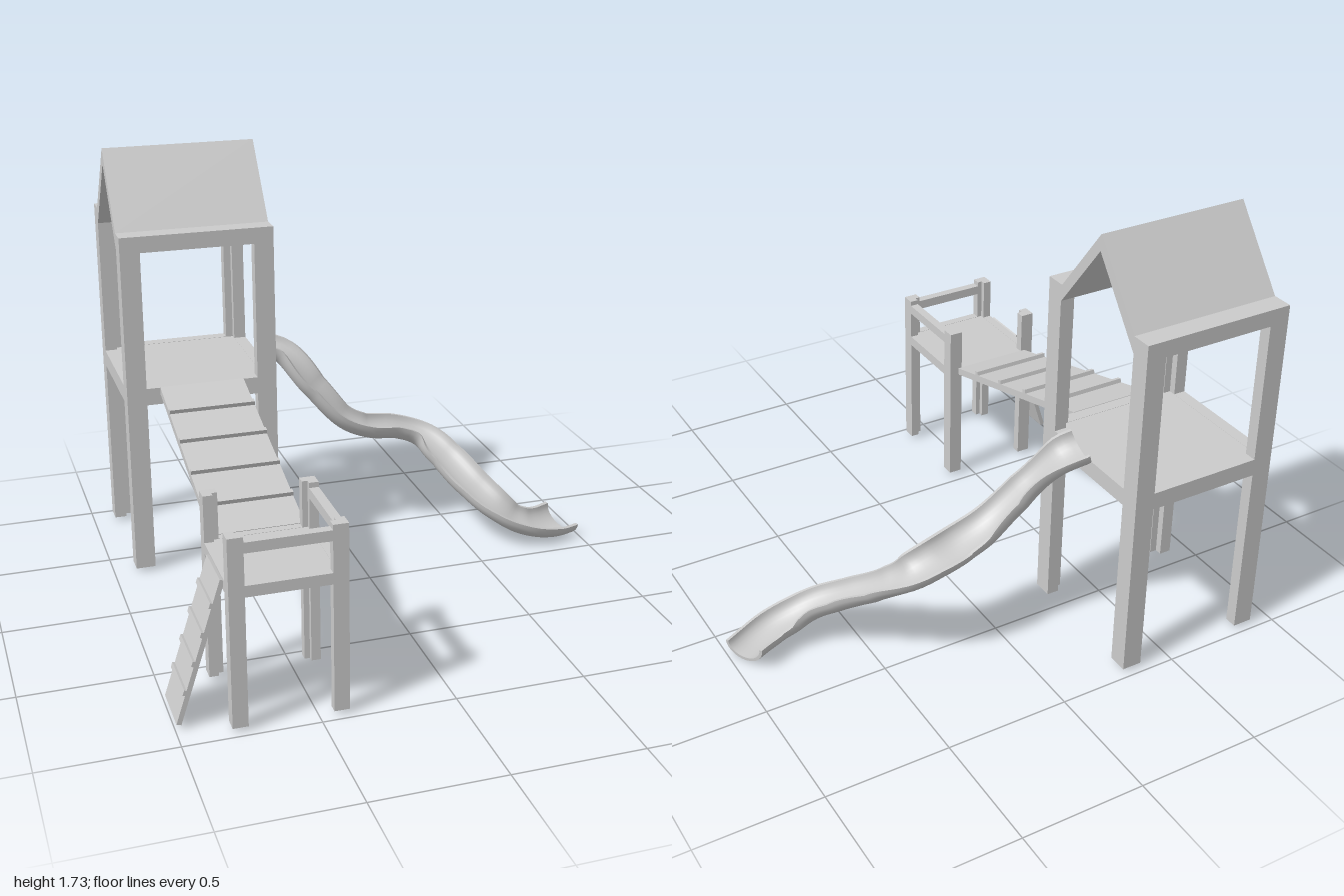
import * as THREE from 'three';
import { toCreasedNormals } from 'three/addons/utils/BufferGeometryUtils.js';

const material = new THREE.MeshStandardMaterial({ color: 0xcccccc });

function addMesh(parent, name, geometry) {
  const mesh = new THREE.Mesh(geometry, material);
  mesh.name = name;
  parent.add(mesh);
  return mesh;
}

// Box given by its minimum and maximum corners.
function addBox(parent, name, [x0, y0, z0], [x1, y1, z1]) {
  const mesh = addMesh(parent, name, new THREE.BoxGeometry(x1 - x0, y1 - y0, z1 - z0));
  mesh.position.set((x0 + x1) / 2, (y0 + y1) / 2, (z0 + z1) / 2);
  return mesh;
}

// Platform on four L-section corner posts, with a rim of beams under the deck.
function makePlatform(name, { x, z, w, d, post, thick, top, deckLow, deckTop }) {
  const g = new THREE.Group();
  g.name = name;
  g.position.set(x, 0, z);
  const hx = w / 2, hz = d / 2, base = 0.02;
  for (const sx of [-1, 1]) for (const sz of [-1, 1]) {
    const pts = [[0, 0], [post, 0], [post, thick], [thick, thick], [thick, post], [0, post]]
      .map(([a, b]) => new THREE.Vector2(sx * (hx - a), -sz * (hz - b)));
    const geo = new THREE.ExtrudeGeometry(new THREE.Shape(pts), { depth: top - base, bevelEnabled: false });
    geo.rotateX(-Math.PI / 2).translate(0, base, 0);
    addMesh(g, 'cornerPost', geo);
  }
  for (const s of [-1, 1]) {
    const za = s * hz, zb = s * (hz - thick), xa = s * hx, xb = s * (hx - thick);
    addBox(g, 'deckBeam', [post - hx, deckLow, Math.min(za, zb)], [hx - post, deckTop, Math.max(za, zb)]);
    addBox(g, 'deckBeam', [Math.min(xa, xb), deckLow, post - hz], [Math.max(xa, xb), deckTop, hz - post]);
  }
  addBox(g, 'deck', [thick - hx, deckTop - 0.02, thick - hz], [hx - thick, deckTop - 0.001, hz - thick]);
  return g;
}

// Sloping board in the local yz plane from a low to a high end, with raised cleats.
function makeRamp(name, width, length, thickness, cleats, cleatHeight) {
  const g = new THREE.Group();
  g.name = name;
  addBox(g, 'board', [-width / 2, -thickness, 0], [width / 2, 0, length]);
  for (const t of cleats) {
    addBox(g, 'cleat', [-width / 2, -0.002, t * length - 0.01], [width / 2, cleatHeight, t * length + 0.01]);
  }
  return g;
}

// Open trough swept along a winding path.
function makeSlide() {
  const path = new THREE.CatmullRomCurve3([
    [-0.29, 0.805, -0.64], [-0.22, 0.782, -0.625], [-0.1, 0.63, -0.56], [0.03, 0.485, -0.512],
    [0.15, 0.43, -0.5], [0.28, 0.405, -0.515], [0.38, 0.365, -0.5], [0.46, 0.29, -0.425],
    [0.55, 0.185, -0.29], [0.63, 0.11, -0.195], [0.7, 0.06, -0.155], [0.79, 0.028, -0.142],
    [0.87, 0.012, -0.16], [0.95, 0.008, -0.195],
  ].map(p => new THREE.Vector3(...p)), false, 'centripetal');
  // Cross-section: outer arc one way, inner arc back.
  const section = [], arc = 14, rings = 72;
  for (let i = 0; i <= arc; i++) {
    const a = Math.PI * i / arc;
    section.push([-0.1 * Math.cos(a), 0.075 - 0.075 * Math.sin(a)]);
  }
  for (let i = arc; i >= 0; i--) {
    const a = Math.PI * i / arc;
    section.push([-0.086 * Math.cos(a), 0.075 - 0.062 * Math.sin(a)]);
  }
  const n = section.length, pos = [], idx = [];
  const up = new THREE.Vector3(0, 1, 0);
  for (let r = 0; r <= rings; r++) {
    const t = r / rings;
    const c = path.getPointAt(t), dir = path.getTangentAt(t);
    const side = new THREE.Vector3().crossVectors(dir, up).normalize();
    const normal = new THREE.Vector3().crossVectors(side, dir);
    // Slight bank toward the exit, turning about the middle of the trough
    const roll = 0.22 * THREE.MathUtils.smoothstep(t, 0.8, 1);
    const cs = Math.cos(roll), sn = Math.sin(roll);
    for (const [u, v] of section) {
      const p = c.clone().addScaledVector(side, u * cs + v * sn * 0.3)
        .addScaledVector(normal, v * cs - u * sn);
      pos.push(p.x, p.y, p.z);
    }
  }
  for (let r = 0; r < rings; r++) for (let i = 0; i < n; i++) {
    const a = r * n + i, b = r * n + (i + 1) % n;
    idx.push(a, a + n, b, b, a + n, b + n);
  }
  // End caps join the outer and inner arcs.
  const e = rings * n;
  for (let i = 0; i < arc; i++) {
    const j = n - 1 - i;
    idx.push(i, i + 1, j, i + 1, j - 1, j);
    idx.push(e + i, e + j, e + i + 1, e + i + 1, e + j, e + j - 1);
  }
  const geo = new THREE.BufferGeometry();
  geo.setAttribute('position', new THREE.Float32BufferAttribute(pos, 3));
  geo.setIndex(idx);
  const mesh = new THREE.Mesh(toCreasedNormals(geo, 0.7), material.clone());
  mesh.material.side = THREE.DoubleSide;
  mesh.name = 'slide';
  return mesh;
}

export function createModel() {
  const model = new THREE.Group();
  model.name = 'playground';

  // Tall tower with gabled roof
  const tower = makePlatform('tower', {
    x: -0.6, z: -0.662, w: 0.62, d: 0.616, post: 0.08, thick: 0.05, top: 1.44, deckLow: 0.74, deckTop: 0.81,
  });
  model.add(tower);
  for (const s of [-1, 1]) {
    const a = s * 0.308, b = s * 0.226;
    addBox(tower, 'eaveBeam', [-0.31, 1.375, Math.min(a, b)], [0.31, 1.441, Math.max(a, b)]);
  }
  const gable = new THREE.Shape([
    [-0.226, 1.375], [0, 1.67], [0.226, 1.375], [0.226, 1.44], [0, 1.735], [-0.226, 1.44],
  ].map(p => new THREE.Vector2(...p)));
  const roof = new THREE.ExtrudeGeometry(gable, { depth: 0.62, bevelEnabled: false });
  roof.translate(0, 0, -0.31).rotateY(Math.PI / 2);
  addMesh(tower, 'roof', roof);

  // Low platform, railed on two sides
  const low = makePlatform('lowPlatform', {
    x: -0.602, z: 0.758, w: 0.424, d: 0.422, post: 0.057, thick: 0.036, top: 0.74, deckLow: 0.517, deckTop: 0.56,
  });
  model.add(low);
  addBox(low, 'frontRail', [-0.155, 0.68, 0.175], [0.155, 0.72, 0.211]);
  addBox(low, 'sideRail', [0.176, 0.68, -0.154], [0.212, 0.72, 0.154]);

  // Ramp joining the platforms
  const rise = 0.25, run = 0.905;
  const bridge = makeRamp('bridge', 0.345, Math.hypot(rise, run), 0.03, [0.18, 0.388, 0.6, 0.808], 0.017);
  bridge.position.set(-0.602, 0.562, 0.55);
  bridge.rotation.set(Math.atan2(rise, run), Math.PI, 0, 'YXZ');
  bridge.rotation.x = -Math.atan2(rise, run);
  model.add(bridge);

  // Steep climbing board at the side
  const climb = makeRamp('climbingBoard', 0.205, Math.hypot(0.17, 0.53), 0.018, [0.22, 0.42, 0.62, 0.82], 0.009);
  climb.position.set(-0.995, 0.028, 0.792);
  climb.rotation.set(-Math.atan2(0.53, 0.17), Math.PI / 2, 0, 'YXZ');
  model.add(climb);

  model.add(makeSlide());
  return model;
}
